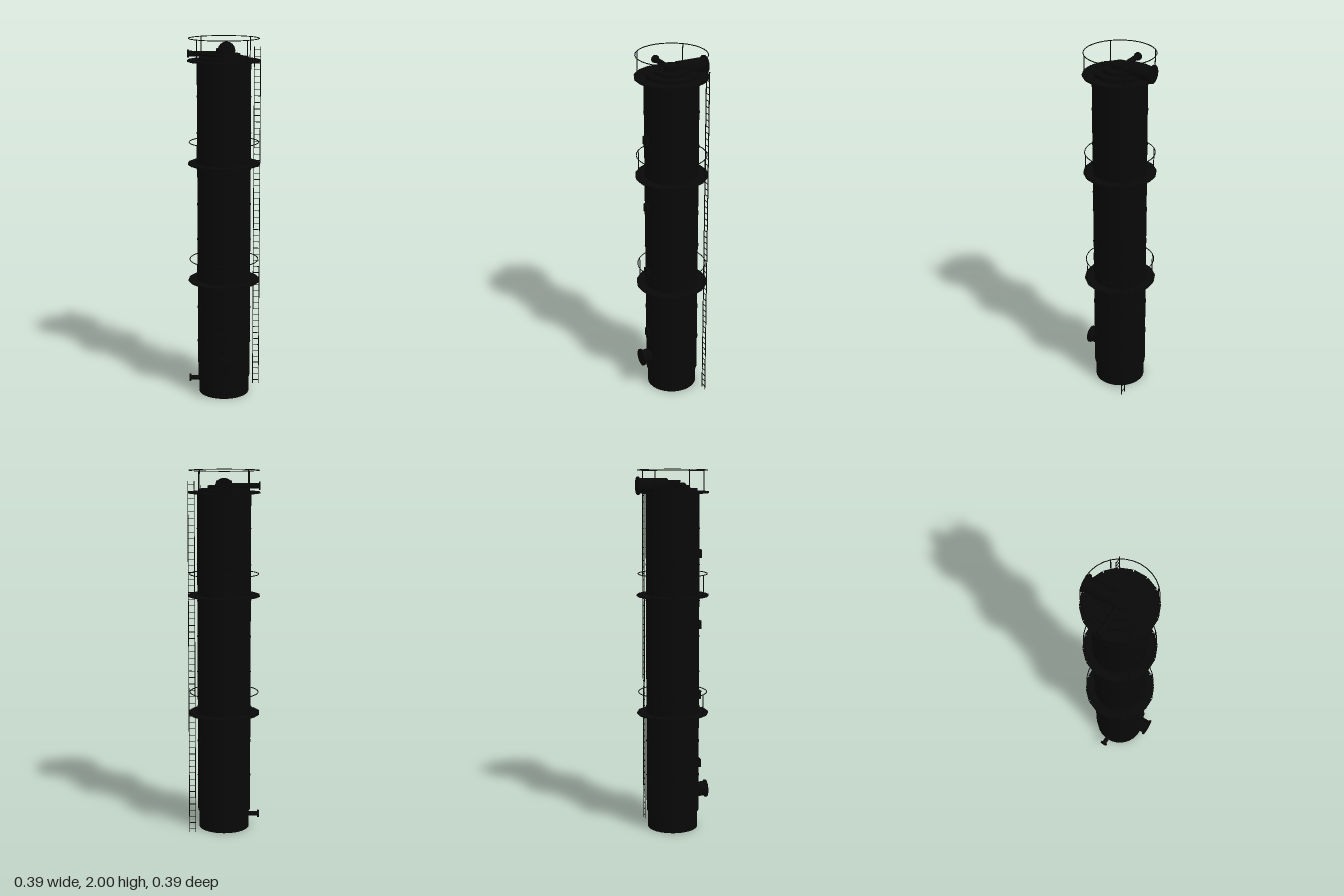
import * as THREE from 'three';

export function createModel() {
  const model = new THREE.Group();
  const black = new THREE.MeshStandardMaterial({ color: 0x080808 });
  black.name = 'blackSteel';

  const add = (name, geometry, x = 0, y = 0, z = 0, parent = model) => {
    const mesh = new THREE.Mesh(geometry, black);
    mesh.name = name;
    mesh.position.set(x, y, z);
    parent.add(mesh);
    return mesh;
  };
  const group = (name) => {
    const g = new THREE.Group();
    g.name = name;
    model.add(g);
    return g;
  };
  // Upright cylinder from y0 to y1
  const drum = (name, r, y0, y1) =>
    add(name, new THREE.CylinderGeometry(r, r, y1 - y0, 32), 0, (y0 + y1) / 2, 0);

  // Column shell, skirt and stepped head
  drum('skirt', 0.14, 0, 0.11);
  drum('shell', 0.147, 0.1, 1.88);
  drum('headLower', 0.135, 1.87, 1.9);
  drum('headMiddle', 0.09, 1.89, 1.917);
  drum('headUpper', 0.043, 1.9, 1.944);

  // Weld seams round the shell
  const seams = group('weldSeams');
  for (let i = 0; i < 8; i++) {
    const seam = add('weldSeam', new THREE.TorusGeometry(0.147, 0.003, 6, 32), 0, 0.3 + i * 0.198, 0, seams);
    seam.rotation.x = Math.PI / 2;
  }

  // Platforms of sixteen plates, each with a hoop rail on four posts
  for (const y of [0.66, 1.32, 1.88]) {
    const platform = group('platform');
    platform.position.y = y;
    for (let i = 0; i < 16; i++) {
      const a = (i * Math.PI) / 8;
      const plate = add('deckPlate', new THREE.BoxGeometry(0.07, 0.008, 0.052),
        Math.sin(a) * 0.169, 0, Math.cos(a) * 0.169, platform);
      plate.rotation.y = a;
    }
    const rail = add('handrail', new THREE.TorusGeometry(0.19, 0.0025, 6, 32), 0, 0.1185, 0, platform);
    rail.rotation.x = Math.PI / 2;
    for (let i = 0; i < 4; i++) {
      const a = Math.PI / 4 + (i * Math.PI) / 2;
      add('railPost', new THREE.CylinderGeometry(0.003, 0.003, 0.12, 6),
        Math.sin(a) * 0.19, 0.06, Math.cos(a) * 0.19, platform);
    }
  }

  // Flanged nozzle running outwards along the given heading from r0 to r1
  const nozzle = (name, heading, y, r0, r1, radius, flangeRadius) => {
    const g = group(name);
    g.position.y = y;
    g.rotation.y = heading;
    const pipe = add('pipe', new THREE.CylinderGeometry(radius, radius, r1 - r0, 24), 0, 0, (r0 + r1) / 2, g);
    const flange = add('flange', new THREE.CylinderGeometry(flangeRadius, flangeRadius, 0.009, 24), 0, 0, r1 - 0.0045, g);
    pipe.rotation.x = flange.rotation.x = Math.PI / 2;
  };
  nozzle('vapourDuct', Math.PI, 1.916, 0.033, 0.198, 0.04, 0.049);
  nozzle('refluxPipe', -Math.PI / 2, 1.916, 0.04, 0.197, 0.015, 0.022);
  nozzle('drainPipe', -Math.PI / 2, 0.07, 0.12, 0.197, 0.013, 0.021);
  nozzle('feedNozzle', 0, 0.203, 0.12, 0.197, 0.041, 0.049);

  // Access hatches up the front
  for (const y of [0.36, 0.755, 1.15, 1.545]) {
    add('hatch', new THREE.BoxGeometry(0.045, 0.046, 0.03), 0, y, 0.145);
  }

  // Ladder
  const ladder = group('ladder');
  ladder.position.set(0.175, 0, -0.12);
  for (const x of [-0.017, 0.017]) {
    add('stringer', new THREE.BoxGeometry(0.004, 1.945, 0.004), x, 0.9725, 0, ladder);
  }
  for (let y = 0.02; y < 1.94; y += 0.036) {
    add('rung', new THREE.BoxGeometry(0.034, 0.003, 0.003), 0, y, 0, ladder);
  }

  return model;
}
